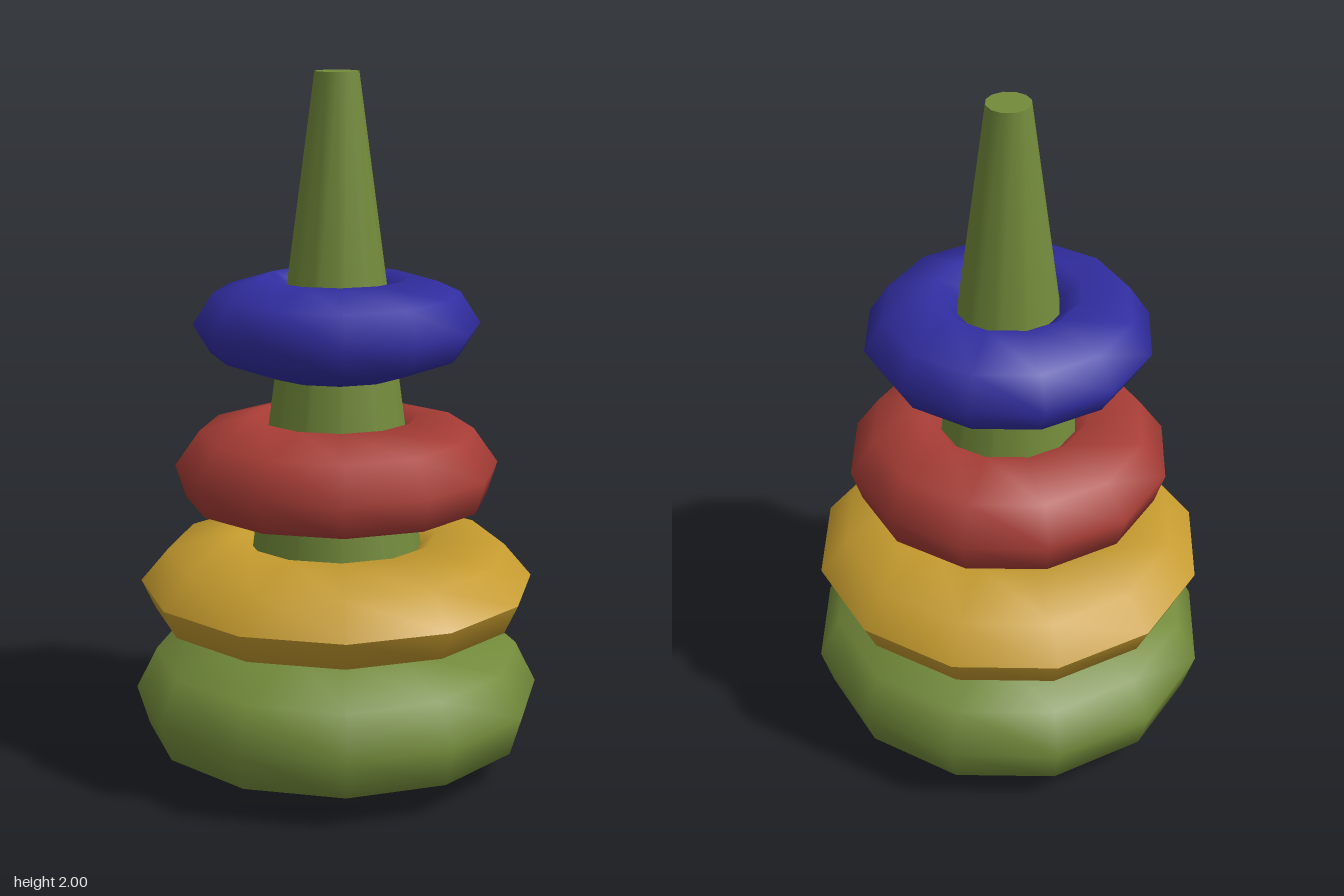
import * as THREE from 'three';
import { toCreasedNormals } from 'three/addons/utils/BufferGeometryUtils.js';

const SIDES = 12;

// Revolve a profile of [radius, y] pairs; edges sharper than creaseDeg stay hard
function turned(name, color, profile, creaseDeg) {
  const points = profile.map(([r, y]) => new THREE.Vector2(r, y));
  const geometry = toCreasedNormals(
    new THREE.LatheGeometry(points, SIDES), THREE.MathUtils.degToRad(creaseDeg));
  return part(name, color, geometry);
}

function part(name, color, geometry) {
  const mesh = new THREE.Mesh(geometry, new THREE.MeshStandardMaterial({ color }));
  mesh.name = name;
  return mesh;
}

export function createModel() {
  const group = new THREE.Group();
  group.name = 'stackingRings';
  const green = 0x728a3a;

  // Rounded base with a flat underside
  group.add(turned('base', green, [
    [0, 0], [0.34, 0.005], [0.555, 0.095], [0.59, 0.21],
    [0.53, 0.33], [0.28, 0.395], [0, 0.395],
  ], 60));

  // Tapered peg
  const peg = part('peg', green, new THREE.CylinderGeometry(0.062, 0.278, 1.61, SIDES));
  peg.position.y = 2 - 1.61 / 2;
  group.add(peg);

  // Rings, each a closed cross-section: inside, underside, rim, top, inside
  group.add(turned('largeRing', 0xc49a2e, [
    [0.22, 0.47], [0.28, 0.395], [0.53, 0.455], [0.57, 0.54],
    [0.49, 0.635], [0.29, 0.675], [0.22, 0.62], [0.22, 0.47],
  ], 55));
  group.add(turned('mediumRing', 0xa63c35, [
    [0.165, 0.81], [0.235, 0.73], [0.435, 0.79], [0.465, 0.885],
    [0.395, 0.985], [0.235, 1.03], [0.165, 0.96], [0.165, 0.81],
  ], 80));
  group.add(turned('smallRing', 0x312da0, [
    [0.135, 1.22], [0.2, 1.155], [0.36, 1.215], [0.408, 1.295],
    [0.35, 1.385], [0.205, 1.43], [0.135, 1.37], [0.135, 1.22],
  ], 80));

  return group;
}
